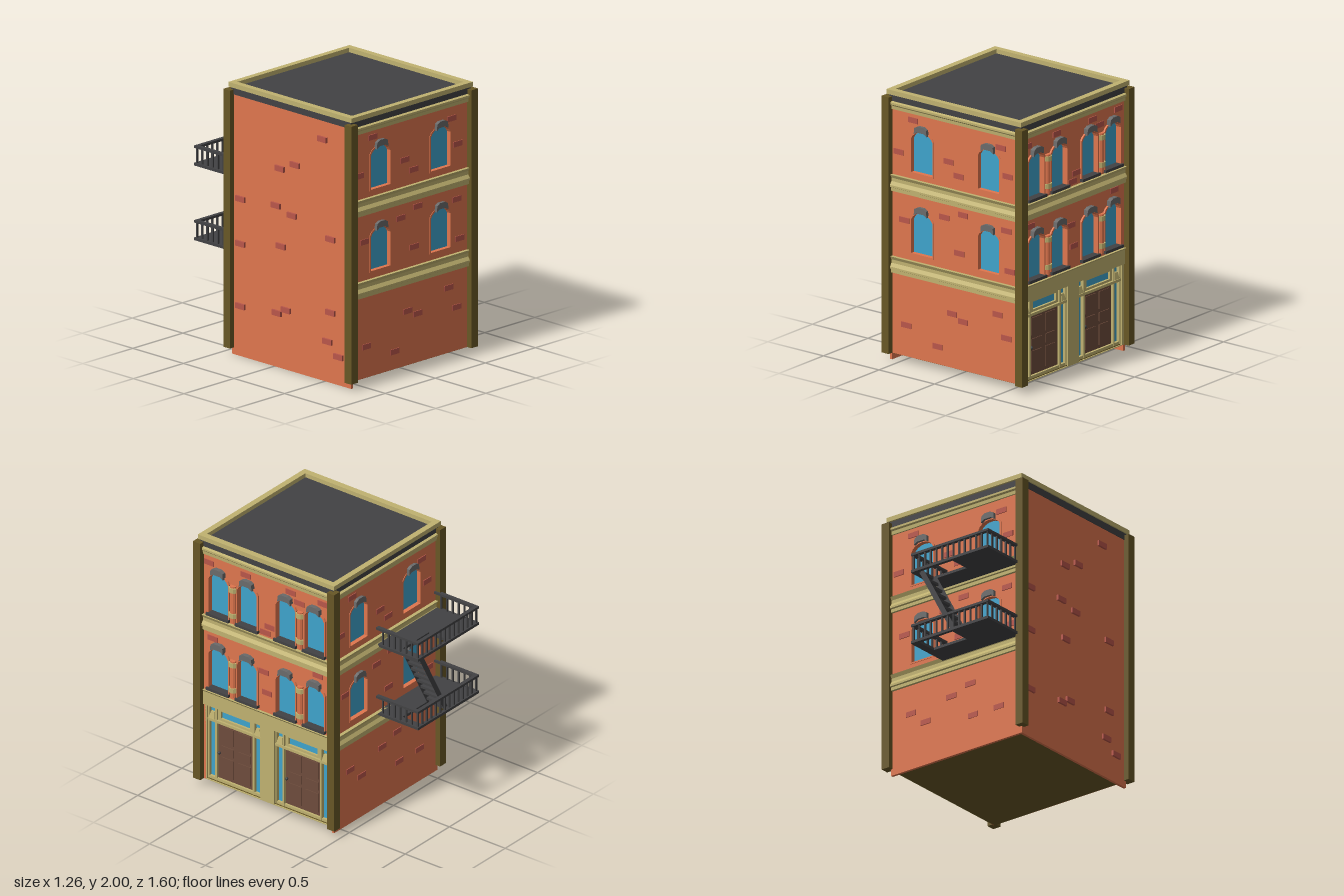
import * as THREE from 'three';

const mat = (color) => new THREE.MeshStandardMaterial({ color, side: THREE.DoubleSide, flatShading: true });
const M = {
  wall: mat(0xdf764e), brick: mat(0xb9564a), cream: mat(0xc0b270), post: mat(0x685726),
  glass: mat(0x3fa3cc), dark: mat(0x424244), hood: mat(0x6a6a6a), door: mat(0x6e4c3c),
};
const H = 0.59; // half width of the square building

function add(parent, name, geo, material, x = 0, y = 0, z = 0) {
  const m = new THREE.Mesh(geo, material);
  m.name = name;
  m.position.set(x, y, z);
  parent.add(m);
  return m;
}
// Box given by its extents on each axis
function box(parent, name, material, [x0, x1], [y0, y1], [z0, z1]) {
  return add(parent, name, new THREE.BoxGeometry(x1 - x0, y1 - y0, z1 - z0), material,
    (x0 + x1) / 2, (y0 + y1) / 2, (z0 + z1) / 2);
}
function trace(s, pts) {
  pts.forEach(([x, y], i) => (i ? s.lineTo(x, y) : s.moveTo(x, y)));
  s.closePath();
  return s;
}
const poly = (pts) => trace(new THREE.Shape(), pts);
const rect = (x0, x1, y0, y1) => [[x0, y0], [x1, y0], [x1, y1], [x0, y1]];
const extrude = (shape, depth) => new THREE.ExtrudeGeometry(shape, { depth, bevelEnabled: false });

// Outline of a window with a low arched head
function arch(u, half, y0, top, grow = 0) {
  const pts = [[u - half - grow, y0 - grow], [u + half + grow, y0 - grow]];
  for (let i = 0; i <= 8; i++) {
    const a = 0.25 + (i / 8) * (Math.PI - 0.5);
    pts.push([u + (half + grow) * Math.cos(a) / Math.cos(0.25), top + grow - 0.055 * (1 - Math.sin(a)) / (1 - Math.sin(0.25))]);
  }
  return pts;
}

// Moulding: profile of [outward, height] swept along the face
function moulding(face, name, profile, y) {
  const g = extrude(poly(profile.map(([w, v]) => [-w, v])), 2 * H - 0.03);
  g.rotateY(Math.PI / 2);
  add(face, name, g, M.cream, -H + 0.015, y, 0);
}
const BELT = [[0, 0], [0.018, 0], [0.018, 0.025], [0.028, 0.03], [0.028, 0.045], [0.012, 0.07], [0.012, 0.095], [0.026, 0.12], [0, 0.12]];
const CROWN = [[0, 0], [0.012, 0], [0.014, 0.025], [0.024, 0.035], [0.024, 0.05], [0, 0.058]];

// Glass, raised surround and keystone hood of one window
function windowUnit(face, u, half, y0, top, out) {
  add(face, 'windowGlass', new THREE.ShapeGeometry(poly(arch(u, half, y0, top, 0.004))), M.glass, 0, 0, -0.03);
  const ring = poly(arch(u, half, y0, top, 0.011));
  ring.holes.push(trace(new THREE.Path(), arch(u, half, y0, top)));
  add(face, 'windowSurround', extrude(ring, 0.03 + out), M.wall, 0, 0, -0.03);
  const hood = poly([[-0.058, -0.012], [-0.03, 0.005], [0.03, 0.005], [0.058, -0.012], [0.053, 0.035], [0.025, 0.05], [-0.025, 0.05], [-0.053, 0.035]]);
  add(face, 'windowHood', extrude(hood, out + 0.02), M.hood, u, top, 0);
}

function bricks(face, list, out) {
  for (const [u, y] of list) box(face, 'raisedBrick', M.brick, [u - 0.044, u + 0.044], [y - 0.02, y + 0.02], [-0.01, out]);
}

// Wall slab with window openings
function wall(face, y0, openings, name = 'wall', y1 = 1.95, material = M.wall) {
  const s = poly(rect(-H, H, y0, y1));
  openings.forEach((o) => s.holes.push(trace(new THREE.Path(), o)));
  add(face, name, extrude(s, 0.04), material, 0, 0, -0.04);
}

// Plain two-window elevation used for front and back
function windowFace(face, groundBricks) {
  const units = [];
  for (const y of [0.825, 1.425]) for (const u of [-0.3, 0.3]) units.push([u, 0.096, y, y + 0.305]);
  wall(face, 0.05, units.map((w) => arch(...w)));
  units.forEach((w) => windowUnit(face, ...w, 0.004));
  moulding(face, 'lowerBelt', BELT, 0.65);
  moulding(face, 'upperBelt', BELT, 1.255);
  moulding(face, 'crownMoulding', CROWN, 1.86);
  bricks(face, [[-0.38, 1.81], [0.41, 1.77], [-0.51, 1.55], [-0.06, 1.57], [0.03, 1.48], [0.47, 1.57], [0.07, 1.2],
    [-0.1, 1.15], [0.46, 1.165], [-0.46, 1.055], [0.035, 0.91], [0.49, 0.87], ...groundBricks], 0.006);
}

// Recessed entrance: door, sidelights and transom
function entrance(face, u) {
  const g = new THREE.Group();
  g.name = 'entrance';
  g.position.x = u;
  face.add(g);
  box(g, 'entranceBacking', M.cream, [-0.245, 0.245], [0.05, 0.65], [-0.07, -0.045]);
  box(g, 'door', M.door, [-0.16, 0.16], [0.08, 0.525], [-0.045, -0.032]);
  for (const s of [-1, 1]) {
    for (const [y0, y1] of [[0.105, 0.255], [0.28, 0.345], [0.37, 0.5]])
      box(g, 'doorPanel', M.door, [s * 0.075 - 0.055, s * 0.075 + 0.055], [y0, y1], [-0.035, -0.026]);
    box(g, 'sidelightGlass', M.glass, [s * 0.203 - 0.025, s * 0.203 + 0.025], [0.08, 0.52], [-0.045, -0.036]);
    box(g, 'cornerLight', M.glass, [s * 0.203 - 0.025, s * 0.203 + 0.025], [0.595, 0.635], [-0.045, -0.036]);
    for (const p of [0.168, 0.235]) box(g, 'entrancePost', M.cream, [s * p - 0.008, s * p + 0.008], [0.05, 0.645], [-0.045, -0.012]);
    const cap = new THREE.CylinderGeometry(0.022, 0.036, 0.05, 4);
    cap.rotateY(Math.PI / 4);
    add(g, 'postCapital', cap, M.cream, s * 0.203, 0.572, -0.035);
  }
  box(g, 'transomBar', M.cream, [-0.24, 0.24], [0.525, 0.545], [-0.045, -0.008]);
  box(g, 'threshold', M.cream, [-0.24, 0.24], [0.05, 0.08], [-0.045, -0.015]);
  const frame = poly(rect(-0.155, 0.155, 0.548, 0.642));
  frame.holes.push(trace(new THREE.Path(), rect(-0.13, 0.13, 0.565, 0.622)));
  add(g, 'transomFrame', extrude(frame, 0.025), M.cream, 0, 0, -0.045);
  box(g, 'transomGlass', M.glass, [-0.132, 0.132], [0.563, 0.624], [-0.045, -0.037]);
  add(g, 'doorKnob', new THREE.SphereGeometry(0.012, 10, 8), M.dark, -0.145, 0.285, -0.02);
}

// Street elevation: paired windows over two entrances
function streetFace(face) {
  const units = [];
  for (const y of [0.8, 1.4]) for (const u of [-0.43, -0.172, 0.172, 0.43]) units.push([u, 0.087, y, y + 0.33]);
  wall(face, 0.65, units.map((w) => arch(...w)));
  wall(face, 0.05, [-0.302, 0.302].map((u) => rect(u - 0.24, u + 0.24, 0.055, 0.645)), 'shopfront', 0.65, M.cream);
  for (const w of units) {
    windowUnit(face, ...w, 0.014);
    box(face, 'windowSill', M.dark, [w[0] - 0.1, w[0] + 0.1], [w[2] - 0.015, w[2] + 0.006], [-0.03, 0.028]);
  }
  for (const y of [0.8, 1.4]) for (const u of [-0.301, 0.301]) {
    add(face, 'windowColumn', new THREE.CylinderGeometry(0.026, 0.026, 0.29, 12), M.wall, u, y + 0.145, 0.002);
    for (const v of [0.057, 0.26]) add(face, 'columnBand', new THREE.CylinderGeometry(0.04, 0.04, 0.036, 12), M.cream, u, y + v, -0.004);
  }
  [-0.302, 0.302].forEach((u) => entrance(face, u));
  moulding(face, 'lowerBelt', [[0, 0], [0.008, 0], [0.008, 0.105], [0.02, 0.12], [0, 0.12]], 0.65);
  moulding(face, 'upperBelt', BELT, 1.255);
  moulding(face, 'crownMoulding', CROWN, 1.86);
  bricks(face, [[-0.52, 1.8], [-0.19, 1.81], [0.21, 1.81], [0.29, 1.75], [0.5, 1.815], [0.025, 1.465], [-0.015, 1.41],
    [-0.487, 1.2], [0.453, 1.225], [-0.03, 1.09], [0, 0.93]], 0.006);
}

// One fire escape balcony with a stair opening and railings
function balcony(parent, y) {
  const g = new THREE.Group();
  g.name = 'fireEscapeBalcony';
  g.position.y = y;
  parent.add(g);
  const X = [-0.59, 0.1], Z = [-0.8, -0.42];
  const deck = poly(rect(X[0], X[1], -Z[1], -Z[0]));
  deck.holes.push(trace(new THREE.Path(), rect(-0.255, 0.04, 0.615, 0.775)));
  const d = extrude(deck, 0.02);
  d.rotateX(-Math.PI / 2);
  add(g, 'balconyDeck', d, M.dark);
  const rail = [0.13, 0.148], t = 0.03, b = 0.006;
  box(g, 'frontRail', M.dark, X, rail, [Z[0], Z[0] + t]);
  for (let i = 0; i <= 13; i++) {
    const x = X[0] + 0.015 + i * (0.66 / 13);
    box(g, 'baluster', M.dark, [x - b, x + b], [0.02, 0.13], [Z[0] + 0.009, Z[0] + 0.021]);
  }
  for (const x of [X[0] + t / 2, X[1] - t / 2]) {
    box(g, 'sideRail', M.dark, [x - t / 2, x + t / 2], rail, Z);
    for (let i = 1; i < 7; i++) {
      const z = Z[0] + 0.015 + i * 0.052;
      box(g, 'baluster', M.dark, [x - b, x + b], [0.02, 0.13], [z - b, z + b]);
    }
  }
}

function fireEscape(parent) {
  [0.75, 1.3].forEach((y) => balcony(parent, y));
  // Sloping stair with thin side plates
  for (let i = 0; i < 8; i++) {
    const x = 0.01 - i * 0.036, y = 1.245 - i * 0.0635;
    box(parent, 'stairTread', M.dark, [x - 0.014, x + 0.014], [y - 0.009, y + 0.009], [-0.762, -0.617]);
  }
  const side = poly([[0.015, 1.315], [0.06, 1.315], [-0.235, 0.765], [-0.28, 0.765]]);
  for (const z of [-0.764, -0.617]) add(parent, 'stairStringer', extrude(side, 0.002), M.dark, 0, 0, z);
}

export function createModel() {
  const root = new THREE.Group();
  root.name = 'cornerBuilding';
  const house = new THREE.Group();
  house.name = 'house';
  house.position.set(-0.005, 0, 0.168);
  root.add(house);

  // Four elevations, each built facing +z and turned into place
  const [front, street, back, side] = ['frontFace', 'streetFace', 'backFace', 'sideFace'].map((name, i) => {
    const turn = new THREE.Group(), face = new THREE.Group();
    face.name = name;
    face.position.z = H;
    turn.rotation.y = i * Math.PI / 2;
    turn.add(face);
    house.add(turn);
    return face;
  });
  windowFace(front, [[0.38, 0.53], [-0.03, 0.45], [0.07, 0.41], [0.46, 0.37], [-0.44, 0.28], [-0.16, 0.18]]);
  streetFace(street);
  windowFace(back, [[-0.4, 0.43], [-0.04, 0.46], [0.13, 0.51], [-0.27, 0.33], [0.155, 0.26], [0.385, 0.26]]);
  wall(side, 0.05, []);
  bricks(side, [[0.31, 1.78], [0.04, 1.53], [-0.11, 1.47], [0.39, 1.06], [-0.15, 1.19], [0.01, 1.15], [-0.5, 1.16], [-0.1, 0.9],
    [-0.5, 0.83], [0.39, 0.52], [-0.05, 0.44], [-0.14, 0.4], [0.36, 0.3], [0.47, 0.21], [-0.5, 0.37]], 0.016);

  // Floor, plinth strips and corner posts
  box(house, 'floorSlab', M.post, [-H + 0.01, H - 0.01], [0.045, 0.06], [-H + 0.01, H - 0.01]);
  for (const f of [back, side]) box(f, 'plinth', M.wall, [-0.58, H], [0, 0.05], [-0.02, 0]);
  for (const x of [-0.6, 0.6]) for (const z of [-0.6, 0.6])
    box(house, 'cornerPost', M.post, [x - 0.0325, x + 0.0325], [0.05, 1.95], [z - 0.0325, z + 0.0325]);

  // Roof slab with a raised parapet
  box(house, 'roofSlab', M.dark, [-0.595, 0.595], [1.915, 1.968], [-0.595, 0.595]);
  const ring = poly(rect(-0.605, 0.605, -0.61, 0.61));
  ring.holes.push(trace(new THREE.Path(), rect(-0.557, 0.557, -0.565, 0.565)));
  const parapet = extrude(ring, 0.034);
  parapet.rotateX(-Math.PI / 2);
  add(house, 'parapet', parapet, M.cream, 0, 1.966, 0);

  fireEscape(root);
  return root;
}
